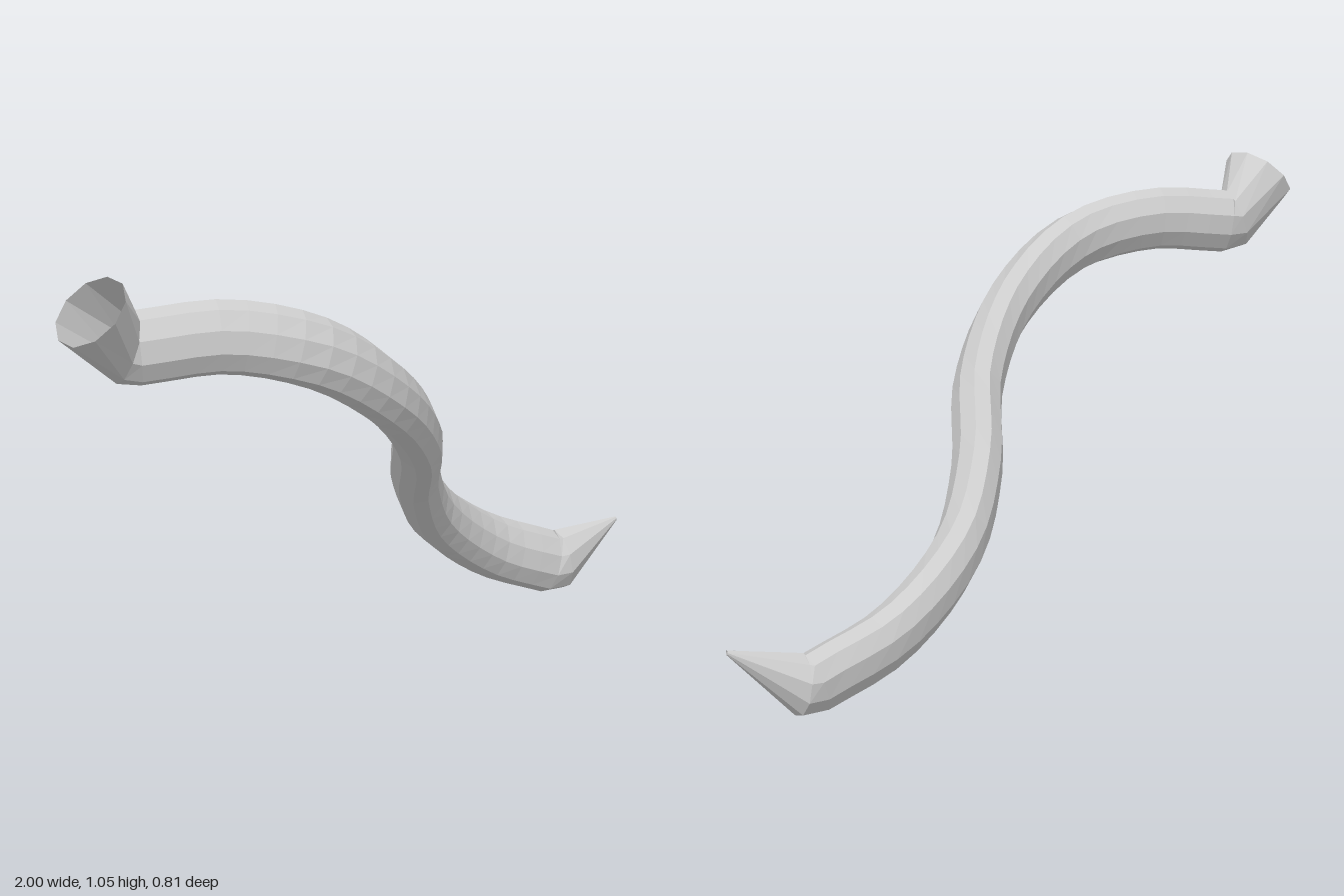
import * as THREE from 'three';

const SIDES = 10;
const LEAN = THREE.MathUtils.degToRad(20);
const UP = new THREE.Vector3(0, Math.cos(LEAN), -Math.sin(LEAN));
const V = (x, y, z) => new THREE.Vector3(x, y, z);

// One oval cross-section, square to its direction; tall and wide are half sizes
function ring(center, direction, tall, wide) {
  const t = direction.clone().normalize();
  const up = UP.clone().addScaledVector(t, -UP.dot(t)).normalize();
  const side = new THREE.Vector3().crossVectors(t, up);
  const points = [];
  for (let j = 0; j < SIDES; j++) {
    const a = ((j + 0.5) / SIDES) * Math.PI * 2;
    points.push(center.clone()
      .addScaledVector(up, tall * Math.cos(a))
      .addScaledVector(side, wide * Math.sin(a)));
  }
  return points;
}

// Skin a list of cross-sections
function loft(name, rings, material) {
  const index = [];
  for (let i = 0; i < rings.length - 1; i++) {
    for (let j = 0; j < SIDES; j++) {
      const k = (j + 1) % SIDES;
      const a = i * SIDES + j, b = i * SIDES + k;
      const c = a + SIDES, d = b + SIDES;
      index.push(a, b, c, b, d, c);
    }
  }
  const geometry = new THREE.BufferGeometry().setFromPoints(rings.flat());
  geometry.setIndex(index);
  geometry.computeVertexNormals();
  const mesh = new THREE.Mesh(geometry, material);
  mesh.name = name;
  return mesh;
}

export function createModel() {
  const group = new THREE.Group();
  group.name = 'curvedTube';
  const material = new THREE.MeshStandardMaterial({
    color: 0xcccccc, flatShading: true, side: THREE.DoubleSide,
  });

  // Winding body
  const path = new THREE.CatmullRomCurve3([
    V(-0.79, 0.885, 0.213), V(-0.58, 0.905, 0.283), V(-0.36, 0.855, 0.335),
    V(-0.14, 0.735, 0.285), V(0.06, 0.59, 0.115), V(0.19, 0.445, -0.095),
    V(0.34, 0.305, -0.245), V(0.57, 0.172, -0.33), V(0.79, 0.097, -0.335),
  ], false, 'centripetal');
  const steps = 32;
  const body = [];
  for (let i = 0; i <= steps; i++) {
    body.push(ring(path.getPointAt(i / steps), path.getTangentAt(i / steps), 0.092, 0.066));
  }
  group.add(loft('body', body, material));

  // Flared open collar at the upper end
  group.add(loft('collar', [
    ring(V(-0.935, 0.985, 0.265), V(0.73, -0.64, -0.24), 0.1, 0.1),
    ring(V(-0.817, 0.886, 0.213), V(0.93, -0.35, 0.1), 0.09, 0.067),
    body[0],
  ], material));

  // Pointed tip at the lower end
  group.add(loft('tip', [
    body[steps],
    ring(V(0.828, 0.1, -0.33), V(0.98, 0.12, 0.05), 0.086, 0.07),
    ring(V(0.997, 0.207, -0.288), V(0.98, 0.12, 0.05), 0.006, 0.006),
  ], material));

  return group;
}
